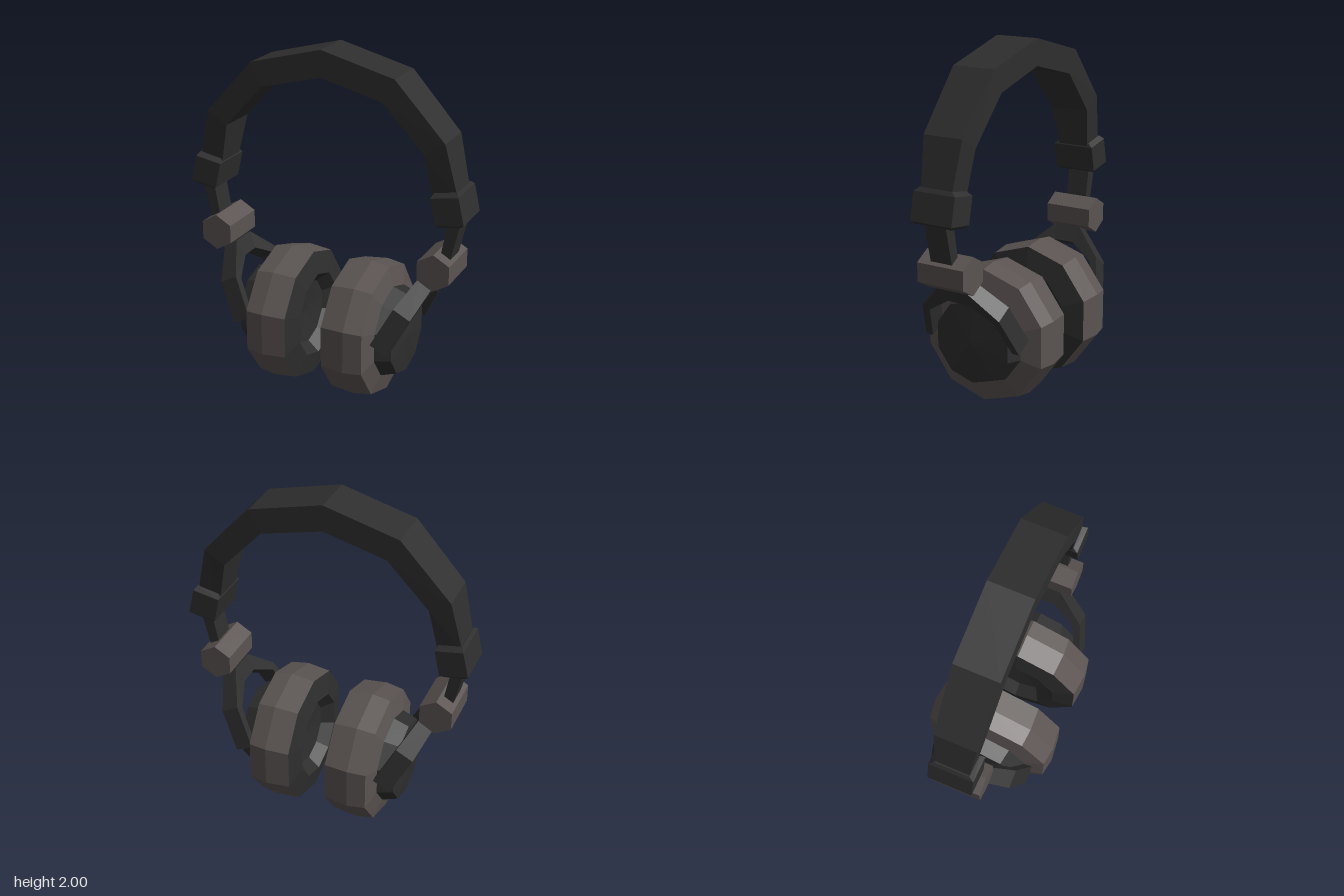
import * as THREE from 'three';

const dark = new THREE.MeshStandardMaterial({ color: 0x2e2e2e });
dark.name = 'charcoal';
const brown = new THREE.MeshStandardMaterial({ color: 0x5a5351 });
brown.name = 'warm grey';

// Faceted mesh with hard edges
function part(name, geometry, material) {
  const geo = geometry.index ? geometry.toNonIndexed() : geometry;
  geo.computeVertexNormals();
  const mesh = new THREE.Mesh(geo, material);
  mesh.name = name;
  return mesh;
}

// Capped loft through four-cornered rings; side = -1 mirrors it across x
function loft(rings, side = 1) {
  const pos = rings.flat().flatMap(([x, y, z]) => [x * side, y, z]);
  const idx = [];
  const quad = (a, b, c, d) => side > 0
    ? idx.push(a, b, c, a, c, d)
    : idx.push(a, c, b, a, d, c);
  const last = (rings.length - 1) * 4;
  for (let i = 0; i < last; i += 4) {
    for (let j = 0; j < 4; j++) {
      const k = (j + 1) % 4;
      quad(i + j, i + 4 + j, i + 4 + k, i + k);
    }
  }
  quad(0, 1, 2, 3);
  quad(last + 3, last + 2, last + 1, last);
  const geo = new THREE.BufferGeometry();
  geo.setAttribute('position', new THREE.Float32BufferAttribute(pos, 3));
  geo.setIndex(idx);
  return geo;
}

// Ring from an outer and an inner point in the front plane, plus half depth
function bandRing([ox, oy, ix, iy, h]) {
  const z = 0.005;
  return [[ox, oy, z + h], [ox, oy, z - h], [ix, iy, z - h], [ix, iy, z + h]];
}

// Ten-sided turned part around the x axis; profile is [x, radius]
function turned(profile, side) {
  const geo = new THREE.LatheGeometry(profile.map(([x, r]) => new THREE.Vector2(r, x)), 10);
  geo.rotateZ(-Math.PI / 2).rotateX(Math.PI / 2);
  if (side < 0) geo.rotateY(Math.PI);
  return geo.translate(0, 0.4, 0);
}

// Fork that straddles the cup, built in a plane leaning inward
function yokeGeometry(side) {
  // [outer z, outer s, inner z, inner s, half thickness], s runs down the fork
  const half = [
    [0.30, 0.40, 0.258, 0.40, 0.055],
    [0.245, 0.16, 0.205, 0.185, 0.055],
    [0.08, -0.01, 0.06, 0.09, 0.045],
  ];
  const stations = [
    ...half.map(([a, b, c, d, t]) => [-a, b, -c, d, t]),
    ...half.slice().reverse(),
  ];
  const at = (z, s, n) => [0.609 - 0.46 * s + 0.89 * n, 0.771 - 0.89 * s - 0.46 * n, z];
  return loft(stations.map(([oz, os, iz, is, t]) =>
    [at(oz, os, -t), at(oz, os, t), at(iz, is, t), at(iz, is, -t)]), side);
}

export function createModel() {
  const model = new THREE.Group();
  model.name = 'headphones';

  // Headband, from one end over the top to the other
  const bandHalf = [
    [0.775, 1.29, 0.64, 1.27, 0.094],
    [0.705, 1.58, 0.588, 1.51, 0.118],
    [0.422, 1.89, 0.355, 1.76, 0.127],
  ];
  const band = [
    ...bandHalf.map(([a, b, c, d, h]) => [-a, b, -c, d, h]),
    [0, 2, 0, 1.85, 0.127],
    ...bandHalf.slice().reverse(),
  ];
  model.add(part('headband', loft(band.map(bandRing)), dark));

  for (const side of [1, -1]) {
    const group = new THREE.Group();
    group.name = side > 0 ? 'leftSide' : 'rightSide';

    // Sleeve at the band end, with small chamfers
    group.add(part('sleeve', loft([
      [0.775, 1.325, 0.645, 1.3, 0.1],
      [0.79, 1.305, 0.634, 1.277, 0.127],
      [0.825, 1.155, 0.667, 1.13, 0.127],
      [0.8, 1.135, 0.69, 1.117, 0.112],
    ].map(bandRing), side), dark));

    // Slider between sleeve and hinge
    group.add(part('slider', loft([
      [0.792, 1.16, 0.718, 1.145, 0.066],
      [0.725, 0.87, 0.668, 0.86, 0.066],
    ].map(bandRing), side), dark));

    // Six-sided hinge
    const hinge = new THREE.CylinderGeometry(0.106, 0.106, 0.286, 6);
    hinge.rotateX(Math.PI / 2).translate(side * 0.667, 0.86, 0);
    group.add(part('hinge', hinge, brown));

    group.add(part('yoke', yokeGeometry(side), dark));

    // Ear cup: hollow pad, padded ring and outer housing
    group.add(part('innerPad', turned([
      [0.17, 0], [0.15, 0.19], [0.085, 0.25], [0.112, 0.385],
    ], side), dark));
    group.add(part('cushion', turned([
      [0.112, 0.385], [0.25, 0.4], [0.355, 0.383], [0.385, 0.26],
    ], side), brown));
    group.add(part('housing', turned([
      [0.38, 0.268], [0.472, 0.237], [0.49, 0],
    ], side), dark));
    model.add(group);
  }
  return model;
}
